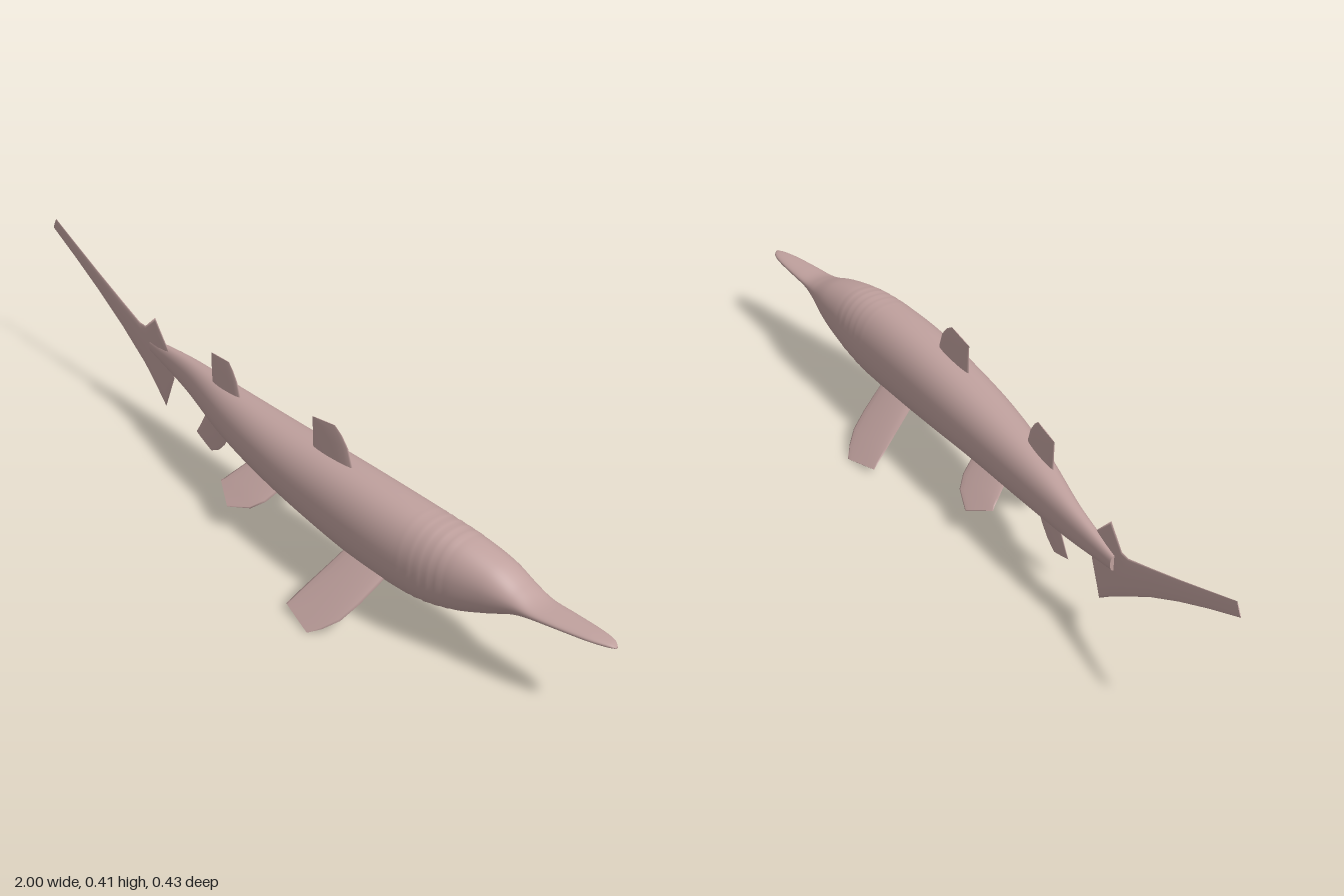
import * as THREE from 'three';

const skin = new THREE.MeshStandardMaterial({ color: 0xc0a19e });
skin.name = 'pinkish skin';
const V = (x, y, z) => new THREE.Vector3(x, y, z);

// Skin a list of closed rings of points, with both ends capped
function loft(name, rings) {
  const n = rings[0].length, pos = [], idx = [];
  rings.forEach(r => r.forEach(p => pos.push(p.x, p.y, p.z)));
  for (let i = 0; i < rings.length - 1; i++) {
    for (let j = 0; j < n; j++) {
      const a = i * n + j, b = i * n + (j + 1) % n;
      idx.push(a, b, a + n, b, b + n, a + n);
    }
  }
  [0, rings.length - 1].forEach((i, end) => {
    const base = pos.length / 3;
    rings[i].forEach(p => pos.push(p.x, p.y, p.z));
    for (let j = 1; j < n - 1; j++) {
      if (end) idx.push(base, base + j, base + j + 1);
      else idx.push(base, base + j + 1, base + j);
    }
  });
  const g = new THREE.BufferGeometry();
  g.setAttribute('position', new THREE.Float32BufferAttribute(pos, 3));
  g.setIndex(idx);
  g.computeVertexNormals();
  const mesh = new THREE.Mesh(g, skin);
  mesh.name = name;
  return mesh;
}

// Lens-shaped fin; each row is [backX, backY, frontX, frontY, halfThickness] from root to tip
function fin(name, rows, zAt) {
  const ends = rows.map(([bx, by, fx, fy, t]) => ({
    b: V(bx, by, zAt(bx, by)), f: V(fx, fy, zAt(fx, fy)), t }));
  const mid = e => e.b.clone().add(e.f).multiplyScalar(0.5);
  const span = mid(ends[ends.length - 1]).sub(mid(ends[0]));
  const normal = span.cross(ends[0].f.clone().sub(ends[0].b)).normalize();
  const rings = ends.map(e => {
    const half = e.f.clone().sub(e.b).multiplyScalar(0.5), ring = [];
    for (let j = 0; j < 16; j++) {
      const a = j / 16 * Math.PI * 2;
      ring.push(mid(e).addScaledVector(half, Math.cos(a)).addScaledVector(normal, e.t * Math.sin(a)));
    }
    return ring;
  });
  return loft(name, rings);
}

// Body sections: x, top, bottom, right side z, left side z
const sections = [
  [-0.57, 0.246, 0.207, -0.077, -0.056],
  [-0.40, 0.268, 0.178, -0.083, -0.028],
  [-0.20, 0.285, 0.149, -0.083, 0.024],
  [0.00, 0.297, 0.130, -0.085, 0.060],
  [0.20, 0.307, 0.110, -0.088, 0.078],
  [0.36, 0.311, 0.098, -0.090, 0.084],
  [0.50, 0.309, 0.097, -0.092, 0.077],
  [0.60, 0.302, 0.116, -0.092, 0.060],
  [0.69, 0.282, 0.153, -0.089, 0.037],
  [0.76, 0.254, 0.190, -0.078, 0.018],
  [0.81, 0.239, 0.207, -0.072, 0.008],
  [0.87, 0.236, 0.214, -0.073, -0.005],
  [0.94, 0.235, 0.218, -0.073, -0.023],
  [0.98, 0.233, 0.221, -0.068, -0.038],
  [1.00, 0.229, 0.225, -0.056, -0.048],
];

function body() {
  const heights = new THREE.CatmullRomCurve3(sections.map(s => V(s[0], s[1], s[2])), false, 'catmullrom', 0.5);
  const widths = new THREE.CatmullRomCurve3(sections.map(s => V(s[0], s[3], s[4])), false, 'catmullrom', 0.5);
  const rings = [], steps = 168;
  for (let i = 0; i <= steps; i++) {
    const h = heights.getPoint(i / steps), w = widths.getPoint(i / steps), ring = [];
    // Shallow gill ridges behind the head
    const gill = h.x > 0.48 && h.x < 0.61 ? 1 + 0.008 * Math.sin((h.x - 0.48) / 0.026 * Math.PI * 2) : 1;
    for (let j = 0; j < 48; j++) {
      const a = j / 48 * Math.PI * 2, c = Math.cos(a), s = Math.sin(a);
      const round = v => Math.sign(v) * Math.abs(v) ** 0.9;
      ring.push(V(h.x, (h.y + h.z) / 2 + (h.y - h.z) / 2 * round(c) * gill,
        (w.y + w.z) / 2 + (w.z - w.y) / 2 * round(s) * gill));
    }
    rings.push(ring);
  }
  return loft('body', rings);
}

export function createModel() {
  const model = new THREE.Group();
  model.name = 'shark';
  model.add(body());

  // Fins along the midline
  model.add(fin('firstDorsalFin', [
    [0.125, 0.27, 0.265, 0.27, 0.008], [0.121, 0.31, 0.255, 0.31, 0.007],
    [0.12, 0.35, 0.24, 0.352, 0.005], [0.119, 0.372, 0.218, 0.378, 0.003],
    [0.118, 0.38, 0.195, 0.393, 0.001]], () => 0.002));
  model.add(fin('secondDorsalFin', [
    [-0.275, 0.25, -0.155, 0.25, 0.008], [-0.278, 0.28, -0.16, 0.285, 0.007],
    [-0.28, 0.32, -0.172, 0.322, 0.005], [-0.28, 0.345, -0.19, 0.348, 0.003],
    [-0.28, 0.354, -0.206, 0.363, 0.001]], x => -0.02 + (x + 0.2) * 0.08));
  model.add(fin('analFin', [
    [-0.3, 0.19, -0.205, 0.19, 0.007], [-0.315, 0.16, -0.215, 0.15, 0.006],
    [-0.337, 0.12, -0.235, 0.11, 0.004], [-0.352, 0.095, -0.262, 0.08, 0.003],
    [-0.36, 0.083, -0.295, 0.06, 0.001]], x => -0.031 + (x + 0.28) * 0.08));

  // Tail fin, from its forward edge to the long upper tip
  model.add(fin('tailFin', [
    [-0.46, 0.185, -0.468, 0.235, 0.002], [-0.475, 0.15, -0.485, 0.255, 0.004],
    [-0.505, 0.08, -0.545, 0.32, 0.005], [-0.55, 0.117, -0.595, 0.272, 0.005],
    [-0.6, 0.155, -0.62, 0.272, 0.005], [-0.7, 0.225, -0.7, 0.302, 0.004],
    [-0.8, 0.284, -0.8, 0.341, 0.003], [-0.9, 0.337, -0.9, 0.382, 0.002],
    [-1, 0.386, -0.985, 0.417, 0.001]],
  x => (x > -0.6 ? -0.066 + (x + 0.6) * 0.12 : -0.066 + (x + 0.6) * 0.03)));

  // Paired fins, splayed outward and down
  for (const [side, s] of [['left', 1], ['right', -1]]) {
    model.add(fin(side + 'PectoralFin', [
      [0.3, 0.15, 0.435, 0.15, 0.009], [0.287, 0.115, 0.427, 0.115, 0.008],
      [0.275, 0.085, 0.416, 0.078, 0.006], [0.263, 0.055, 0.4, 0.044, 0.004],
      [0.254, 0.03, 0.373, 0.02, 0.002], [0.25, 0.02, 0.345, 0.003, 0.001]],
    (x, y) => s * (0.065 + (0.125 - y) * 1.22)));
    model.add(fin(side + 'PelvicFin', [
      [-0.09, 0.165, 0.035, 0.165, 0.007], [-0.11, 0.135, 0.028, 0.135, 0.006],
      [-0.123, 0.117, 0.015, 0.11, 0.005], [-0.13, 0.106, -0.01, 0.09, 0.003],
      [-0.136, 0.1, -0.07, 0.073, 0.001]],
    (x, y) => s * (0.042 + (0.13 - y) * 1.3) - 0.014));
  }
  return model;
}
